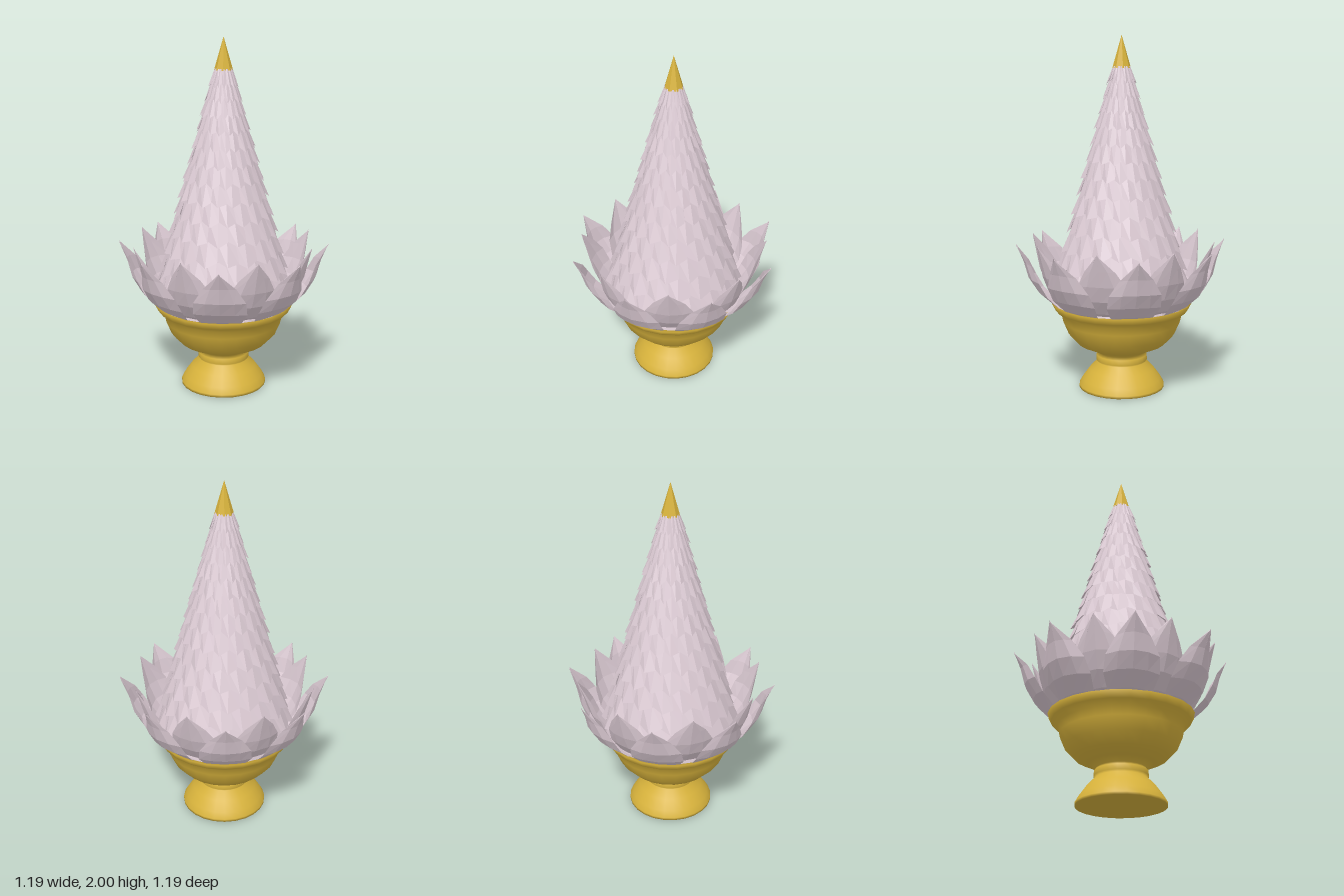
import * as THREE from 'three';

const gold = new THREE.MeshStandardMaterial({ color: 0xd8b33c });
gold.name = 'gold';
const blush = new THREE.MeshStandardMaterial({ color: 0xdccbd4, side: THREE.DoubleSide });
blush.name = 'pale blush';

// Small seeded generator for slight handmade irregularity
function makeRandom(seed) {
  return () => {
    seed = (seed * 16807) % 2147483647;
    return seed / 2147483647 - 0.5;
  };
}

// Faceted geometry from a list of triangle corners
function facets(points) {
  const g = new THREE.BufferGeometry();
  g.setAttribute('position', new THREE.Float32BufferAttribute(points.flat(), 3));
  g.computeVertexNormals();
  return g;
}

function add(parent, name, geometry, material) {
  const mesh = new THREE.Mesh(geometry, material);
  mesh.name = name;
  parent.add(mesh);
  return mesh;
}

const polar = (r, a, y) => [r * Math.sin(a), y, r * Math.cos(a)];

// Cupped lotus petal facing +z: rows are [radius, height, halfWidth, cup]
function petalGeometry(rows) {
  const across = [-1, -0.55, 0, 0.55, 1];
  const grid = rows.map(([r, y, w, cup]) =>
    across.map((u) => [u * w, y - 0.01 * u * u, r - cup * u * u]));
  const out = [];
  for (let i = 0; i < rows.length - 1; i++) {
    for (let j = 0; j < across.length - 1; j++) {
      const a = grid[i][j], b = grid[i][j + 1], c = grid[i + 1][j + 1], d = grid[i + 1][j];
      out.push(a, b, c, a, c, d);
    }
  }
  return facets(out);
}

// Overlapping rows of folded scales wrapped around the cone
const coneRadius = (y) => 0.055 + (1.82 - y) * 0.275;

function scaleGeometry() {
  const rnd = makeRandom(77);
  const out = [];
  const rows = 13, count = 18;
  for (let i = 0; i < rows; i++) {
    const t = i / (rows - 1);
    const yb = 0.58 + 1.16 * (t + 0.09 * t * (1 - t) * 2);
    const yt = Math.min(yb + 0.13 - 0.03 * t, 1.83);
    const rb = coneRadius(yb), rt = coneRadius(yt) - 0.022 + 0.014 * t;
    const fold = 0.05 * rb + 0.006;
    for (let k = 0; k < count; k++) {
      const step = (Math.PI * 2) / count;
      const a = (k + (i % 2) * 0.5 + rnd() * 0.14) * step;
      const h = step * 0.56;
      const dy = rnd() * 0.014;
      const tl = polar(rt, a - h, yt), tm = polar(rt + 0.004, a, yt), tr = polar(rt, a + h, yt);
      const bl = polar(rb - fold, a - h, yb + 0.022 + dy);
      const bm = polar(rb + 0.008 + rnd() * 0.008, a + rnd() * 0.3 * h, yb - 0.008 + dy);
      const br = polar(rb - fold * 0.6, a + h, yb + 0.016 - dy);
      const under = polar(rb - 0.035 + 0.01 * t, a, yb + 0.035);
      out.push(tl, bl, bm, tl, bm, tm, tm, bm, br, tm, br, tr);
      out.push(bl, under, bm, bm, under, br);
    }
  }
  return facets(out);
}

export function createModel() {
  const model = new THREE.Group();
  model.name = 'lotusOffering';

  // Footed bowl
  const profile = [
    [0, 0], [0.245, 0], [0.245, 0.015], [0.225, 0.05], [0.185, 0.105], [0.14, 0.15],
    [0.147, 0.16], [0.145, 0.19], [0.132, 0.205], [0.175, 0.228], [0.25, 0.262], [0.305, 0.32],
    [0.335, 0.39], [0.345, 0.435], [0.38, 0.462], [0.4, 0.5], [0.38, 0.497], [0.33, 0.45], [0, 0.44],
  ].map(([x, y]) => new THREE.Vector2(x, y));
  add(model, 'bowl', new THREE.LatheGeometry(profile, 24), gold);

  // Two rings of petals
  const outer = petalGeometry([
    [0.3, 0.46, 0.07, 0.01], [0.4, 0.51, 0.115, 0.03], [0.48, 0.58, 0.145, 0.045],
    [0.53, 0.66, 0.14, 0.05], [0.555, 0.75, 0.09, 0.035], [0.595, 0.85, 0.003, 0],
  ]);
  const inner = petalGeometry([
    [0.29, 0.46, 0.07, 0.01], [0.38, 0.52, 0.12, 0.03], [0.44, 0.6, 0.145, 0.045],
    [0.48, 0.69, 0.135, 0.05], [0.505, 0.78, 0.085, 0.035], [0.53, 0.875, 0.003, 0],
  ]);
  const petals = new THREE.Group();
  petals.name = 'petals';
  model.add(petals);
  for (let k = 0; k < 8; k++) {
    add(petals, 'outerPetal', outer, blush).rotation.y = (k * Math.PI) / 4;
    add(petals, 'innerPetal', inner, blush).rotation.y = ((k + 0.5) * Math.PI) / 4;
  }

  // Scaled cone over a plain core
  const core = new THREE.CylinderGeometry(0.035, 0.36, 1.36, 18).toNonIndexed();
  core.computeVertexNormals();
  core.translate(0, 1.14, 0);
  add(model, 'coneCore', core, blush);
  add(model, 'coneScales', scaleGeometry(), blush);

  // Gold finial
  const tip = new THREE.ConeGeometry(0.052, 0.18, 8).toNonIndexed();
  tip.computeVertexNormals();
  tip.translate(0, 1.91, 0);
  add(model, 'finial', tip, gold);

  return model;
}
